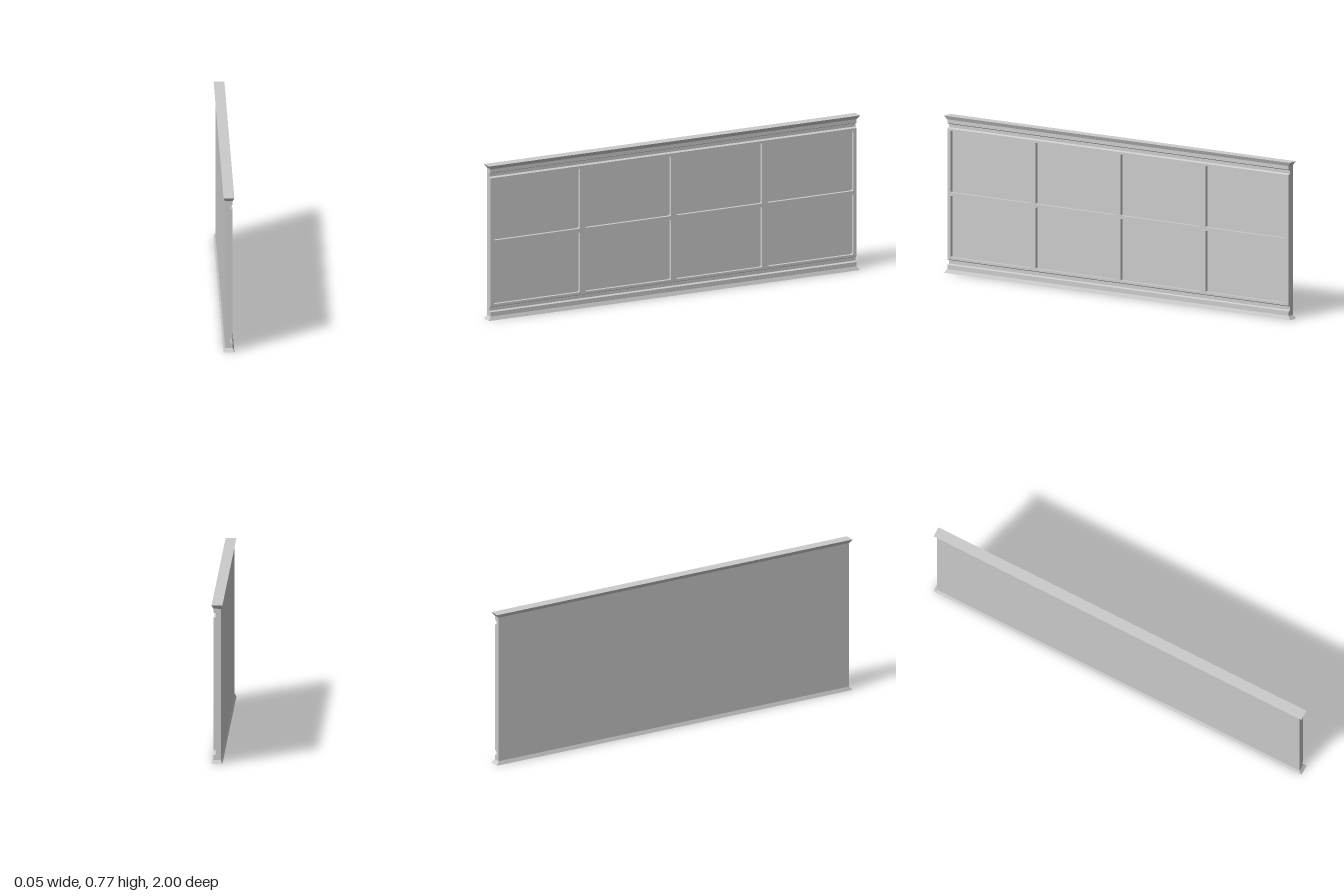
import * as THREE from 'three';

const HALF = 0.986, HEIGHT = 0.771;
const FRONT = 0.017, BACK = -0.018, FLOOR = 0.001, GROOVE = 0.004;

// rectangle with slightly rounded corners, centred on (cx, cy)
function roundedRect(cx, cy, w, h, r) {
  const p = new THREE.Path();
  const x0 = cx - w / 2, x1 = cx + w / 2, y0 = cy - h / 2, y1 = cy + h / 2;
  p.moveTo(x0 + r, y0);
  p.lineTo(x1 - r, y0).quadraticCurveTo(x1, y0, x1, y0 + r);
  p.lineTo(x1, y1 - r).quadraticCurveTo(x1, y1, x1 - r, y1);
  p.lineTo(x0 + r, y1).quadraticCurveTo(x0, y1, x0, y1 - r);
  p.lineTo(x0, y0 + r).quadraticCurveTo(x0, y0, x0 + r, y0);
  return p;
}

// tapered rail, wide at its outer (bottom) face
function flangeGeometry() {
  const h = 0.018;
  const g = new THREE.BoxGeometry(0.052, h, 2).toNonIndexed();
  const pos = g.attributes.position;
  for (let i = 0; i < pos.count; i++) {
    if (pos.getY(i) > 0) {
      pos.setX(i, Math.sign(pos.getX(i)) * 0.018);
      pos.setZ(i, Math.sign(pos.getZ(i)) * HALF);
    }
  }
  g.translate(0, h / 2, 0);
  g.computeVertexNormals();
  return g;
}

export function createModel() {
  const group = new THREE.Group();
  const material = new THREE.MeshStandardMaterial({ color: 0xcccccc, flatShading: true });
  const add = (name, geometry) => {
    const mesh = new THREE.Mesh(geometry, material);
    mesh.name = name;
    group.add(mesh);
    return mesh;
  };

  // wall core: end profile with the two long grooves and the panel bed
  const profile = new THREE.Shape([
    [BACK, 0.017], [FRONT, 0.017],
    [FRONT, 0.040], [GROOVE, 0.044], [GROOVE, 0.061], [FRONT, 0.067],
    [FRONT, 0.074], [FLOOR, 0.074], [FLOOR, 0.701], [FRONT, 0.701],
    [FRONT, 0.708], [GROOVE, 0.713], [GROOVE, 0.729], [FRONT, 0.735],
    [FRONT, 0.754], [BACK, 0.754],
  ].map(([x, y]) => new THREE.Vector2(x, y)));
  const core = new THREE.ExtrudeGeometry(profile, { depth: HALF * 2, bevelEnabled: false });
  core.translate(0, 0, -HALF);
  add('wallCore', core);

  // raised frame with eight panel openings
  const frame = new THREE.Shape([
    [-HALF, 0.074], [HALF, 0.074], [HALF, 0.701], [-HALF, 0.701],
  ].map(([x, y]) => new THREE.Vector2(x, y)));
  for (let col = 0; col < 4; col++) {
    for (const cy of [0.2295, 0.547]) {
      frame.holes.push(roundedRect((col - 1.5) * 0.491, cy, 0.463, 0.302, 0.008));
    }
  }
  const frameGeometry = new THREE.ExtrudeGeometry(frame, {
    depth: FRONT - FLOOR, bevelEnabled: false, curveSegments: 3,
  });
  frameGeometry.rotateY(Math.PI / 2).translate(FLOOR, 0, 0);
  add('panelFrame', frameGeometry);

  // bottom and top rails
  const rail = flangeGeometry();
  add('bottomRail', rail);
  const top = add('topRail', rail);
  top.rotation.z = Math.PI;
  top.position.y = HEIGHT;

  return group;
}
